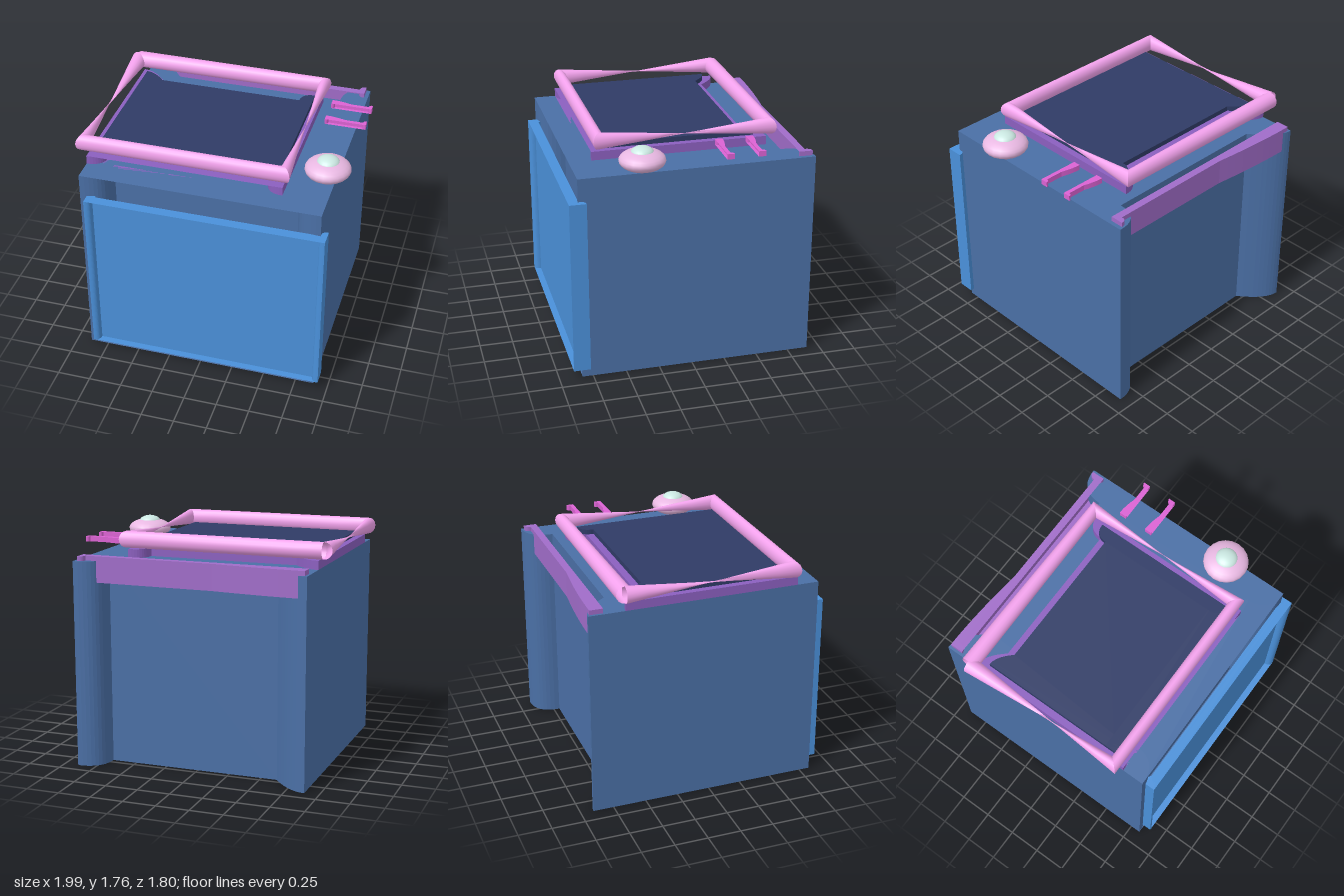
import * as THREE from 'three';

const mat = (color) => new THREE.MeshStandardMaterial({ color, side: THREE.DoubleSide });

function add(parent, name, geometry, material) {
  const mesh = new THREE.Mesh(geometry, material);
  mesh.name = name;
  parent.add(mesh);
  return mesh;
}

// Upright slab with horned corners: walls set in by r at back and front,
// top and bottom sheets reaching over the front recess.
function hornedSlab(name, color, { x: [x0, x1], y: [y0, y1], z: [zb, zf], r, sweep }) {
  const group = new THREE.Group();
  group.name = name;
  const material = mat(color);
  const s = new THREE.Shape(); // drawn in (x, -z)
  s.moveTo(x0, -zf);
  s.quadraticCurveTo(x0 + r, -zf, x0 + r, -(zf - r));
  s.lineTo(x1 - r, -(zf - r));
  s.quadraticCurveTo(x1 - r, -zf, x1, -zf);
  s.lineTo(x1, -zb);
  s.quadraticCurveTo(x1 - r, -zb, x1 - r, -(zb + r));
  s.lineTo(x0 + sweep, -(zb + r));
  s.quadraticCurveTo(x0 + sweep * 0.45, -zb, x0, -zb);
  s.closePath();
  const walls = new THREE.ExtrudeGeometry(s, { depth: y1 - y0, bevelEnabled: false, curveSegments: 10 });
  walls.rotateX(-Math.PI / 2).translate(0, y0, 0);
  add(group, name + 'Walls', walls, material);
  for (const [label, y, turn] of [['Top', y1, -1], ['Bottom', y0, 1]]) {
    const sheet = new THREE.PlaneGeometry(x1 - x0, r);
    sheet.rotateX(turn * Math.PI / 2).translate((x0 + x1) / 2, y, zf - r / 2);
    add(group, name + label + 'Lip', sheet, material);
  }
  return group;
}

// Square tube frame; the two side bars make a half twist and pinch in the middle.
function twistedFrame() {
  const r = 0.0625, y = 1.702, n = 16, q = Math.SQRT1_2;
  const rings = [ // x, z, outward x, outward z, twist
    [-0.935, -0.655, 0, -1, 0],
    [0.57, -0.655, q, -q, 0],
    [0.57, 0.61, q, q, Math.PI],
    [-0.93, 0.61, -q, q, Math.PI],
    [-0.935, -0.655, -1, 0, 2 * Math.PI],
  ];
  const steps = 8, pos = [], idx = [];
  const ringPoint = ([x, z, dx, dz, twist], j) => {
    const a = (j / n) * 2 * Math.PI + twist, c = r * Math.cos(a);
    return new THREE.Vector3(x + c * dx, y + r * Math.sin(a), z + c * dz);
  };
  for (let k = 0; k < rings.length - 1; k++) {
    const base = pos.length / 3;
    for (let i = 0; i <= steps; i++)
      for (let j = 0; j < n; j++)
        pos.push(...ringPoint(rings[k], j).lerp(ringPoint(rings[k + 1], j), i / steps).toArray());
    for (let i = 0; i < steps; i++)
      for (let j = 0; j < n; j++) {
        const a = base + i * n + j, e = base + i * n + (j + 1) % n;
        idx.push(a, e, a + n, e, e + n, a + n);
      }
  }
  const g = new THREE.BufferGeometry();
  g.setAttribute('position', new THREE.Float32BufferAttribute(pos, 3));
  g.setIndex(idx);
  g.computeVertexNormals();
  return g;
}

function ellipsoid(x, y, z, rx, ry) {
  return new THREE.SphereGeometry(1, 20, 14).scale(rx, ry, rx).translate(x, y, z);
}

export function createModel() {
  const model = new THREE.Group();
  model.name = 'model';

  // Main box and front panel
  model.add(hornedSlab('body', 0x4a6fa5, { x: [-0.89, 0.89], y: [0, 1.56], z: [-0.905, 0.83], r: 0.2, sweep: 0.27 }));
  model.add(hornedSlab('frontPanel', 0x4a90d9, { x: [-0.84, 0.935], y: [0.08, 1.39], z: [0.775, 0.9], r: 0.05, sweep: 0.07 }));

  // Stacked lid and screen
  model.add(hornedSlab('lid', 0x8b5fbf, { x: [-0.89, 0.57], y: [1.56, 1.625], z: [-0.635, 0.665], r: 0.13, sweep: 0.2 }));
  model.add(hornedSlab('screen', 0x2f3b66, { x: [-0.84, 0.52], y: [1.625, 1.662], z: [-0.55, 0.575], r: 0.1, sweep: 0.16 }));

  // Rim around the lid
  add(model, 'rimFrame', twistedFrame(), mat(0xf4a3ee));

  // Bar along the back edge
  model.add(hornedSlab('backBar', 0xa06cc8, { x: [-0.87, 0.86], y: [1.4, 1.595], z: [-0.89, -0.79], r: 0.045, sweep: 0.7 }));

  // Small rails beside the rim
  for (const z of [-0.47, -0.24])
    model.add(hornedSlab('sideRail', 0xdb62d3, { x: [0.67, 0.98], y: [1.637, 1.677], z: [z - 0.03, z + 0.025], r: 0.025, sweep: 0.15 }));

  // Knob with a pale button
  add(model, 'knob', ellipsoid(0.825, 1.634, 0.355, 0.168, 0.076), mat(0xe8b8e2));
  add(model, 'knobButton', ellipsoid(0.825, 1.685, 0.355, 0.085, 0.05), mat(0xcbe8e2));

  return model;
}
